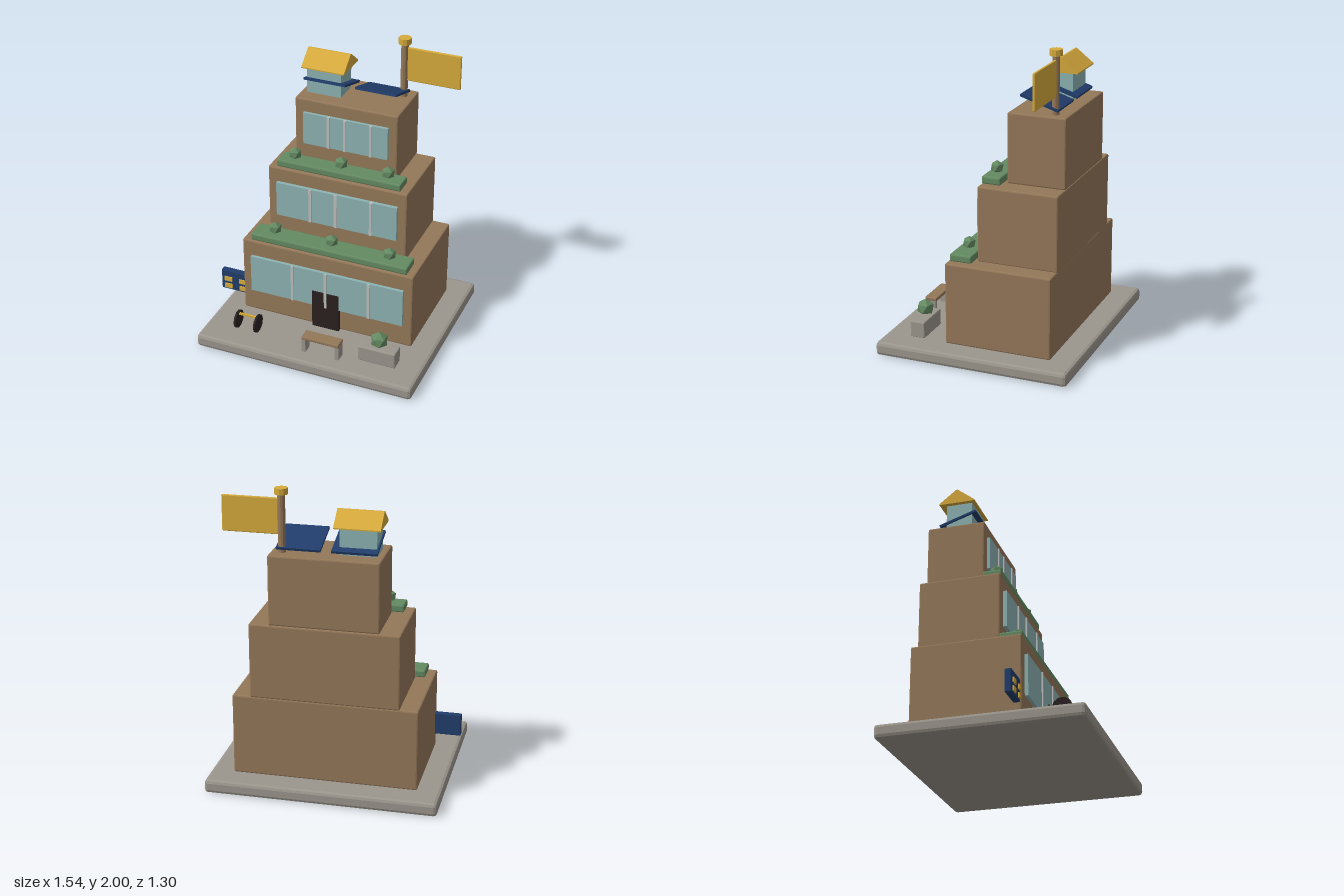
import * as THREE from 'three';
import { RoundedBoxGeometry } from 'three/addons/geometries/RoundedBoxGeometry.js';

const material = (name, color) => new THREE.MeshStandardMaterial({ name, color, flatShading: true });

export function createModel() {
  const model = new THREE.Group();
  model.name = 'terracedBuilding';

  const stone = material('stone', 0x9b968d);
  const clay = material('clay', 0x947859);
  const glass = material('glass', 0x8db3b3);
  const trim = material('paleTrim', 0xbfc0be);
  const green = material('green', 0x648a62);
  const gold = material('gold', 0xd6aa3c);
  const navy = material('navy', 0x213d6b);
  const dark = material('darkBrown', 0x2b2120);

  const add = (name, geometry, mat, x = 0, y = 0, z = 0) => {
    const mesh = new THREE.Mesh(geometry, mat);
    mesh.name = name;
    mesh.position.set(x, y, z);
    model.add(mesh);
    return mesh;
  };

  // Box given by its limits, with an optional softened edge
  const box = (name, mat, [x0, x1], [y0, y1], [z0, z1], bevel = 0) => {
    const size = [x1 - x0, y1 - y0, z1 - z0];
    const geometry = bevel
      ? new RoundedBoxGeometry(...size, 1, bevel)
      : new THREE.BoxGeometry(...size);
    return add(name, geometry, mat, (x0 + x1) / 2, (y0 + y1) / 2, (z0 + z1) / 2);
  };

  // Faceted shrub standing on a point, its underside pressed flat
  const shrub = (name, x, y, z, r) => {
    const geometry = new THREE.IcosahedronGeometry(r, 0);
    geometry.rotateZ(Math.atan(2 / (1 + Math.sqrt(5))));
    const p = geometry.attributes.position;
    for (let i = 0; i < p.count; i++) p.setY(i, Math.max(p.getY(i), -0.8 * r));
    geometry.computeVertexNormals();
    add(name, geometry, green, x, y + 0.8 * r, z);
  };

  // Ground slab
  box('groundSlab', stone, [-0.755, 0.765], [0, 0.09], [-0.65, 0.65], 0.022);

  // Three stepped storeys with window bands
  const storeys = [
    { x: [-0.6, 0.61], y: [0.09, 0.635], front: 0.225, wx: [-0.535, 0.55], wy: [0.255, 0.525], wz: 0.247, bars: [-0.23, 0.008, 0.312] },
    { x: [-0.48, 0.492], y: [0.63, 1.13], front: 0.05, wx: [-0.415, 0.432], wy: [0.785, 1.03], wz: 0.075, bars: [-0.172, 0.008, 0.254] },
    { x: [-0.348, 0.362], y: [1.13, 1.59], front: -0.1, wx: [-0.285, 0.302], wy: [1.275, 1.5], wz: -0.08, bars: [-0.108, 0.008, 0.187] },
  ];
  for (const s of storeys) {
    box('storey', clay, s.x, s.y, [-0.487, s.front], 0.01);
    box('windowBand', glass, s.wx, s.wy, [s.front - 0.01, s.wz]);
    for (const x of s.bars) {
      box('windowBar', trim, [x - 0.009, x + 0.009], s.wy, [s.front, s.wz + 0.008]);
    }
  }

  // Planted terraces
  const terraces = [
    { x: [-0.544, 0.56], y: 0.635, z: [0.065, 0.213], shrubs: [-0.397, 0.008, 0.413] },
    { x: [-0.424, 0.441], y: 1.135, z: [-0.085, 0.042], shrubs: [-0.318, 0.008, 0.333] },
  ];
  for (const t of terraces) {
    box('terraceBed', green, t.x, [t.y, t.y + 0.05], t.z, 0.01);
    for (const x of t.shrubs) {
      shrub('terraceShrub', x, t.y + 0.05, (t.z[0] + t.z[1]) / 2, 0.045);
    }
  }

  // Entrance door
  box('door', dark, [-0.088, 0.103], [0.09, 0.37], [0.22, 0.25]);

  // Side board with gold squares
  box('sideBoard', navy, [-0.775, -0.56], [0.19, 0.34], [0.172, 0.214], 0.006);
  for (const x of [-0.722, -0.612]) {
    for (const y of [0.222, 0.276]) {
      box('boardSquare', gold, [x - 0.028, x + 0.028], [y - 0.016, y + 0.016], [0.214, 0.223]);
    }
  }

  // Pair of wheels on an axle bar
  for (const x of [-0.535, -0.393]) {
    const wheel = add('wheel', new THREE.CylinderGeometry(0.064, 0.064, 0.014, 10), dark, x, 0.154, 0.455);
    wheel.rotation.z = Math.PI / 2;
  }
  box('axleBar', gold, [-0.535, -0.393], [0.188, 0.202], [0.444, 0.458]);

  // Bench
  box('benchSeat', clay, [-0.036, 0.226], [0.188, 0.212], [0.466, 0.55], 0.006);
  for (const x of [-0.022, 0.212]) {
    box('benchLeg', stone, [x - 0.013, x + 0.013], [0.085, 0.19], [0.474, 0.544]);
  }

  // Stone planter
  box('planter', stone, [0.335, 0.592], [0.085, 0.197], [0.382, 0.483], 0.008);
  shrub('planterShrub', 0.464, 0.2, 0.432, 0.06);

  // Rooftop glass room with a gabled roof
  box('roofRoom', glass, [-0.306, -0.07], [1.585, 1.77], [-0.375, -0.2]);
  const gable = new THREE.Shape();
  gable.moveTo(-0.121, 0);
  gable.lineTo(0.121, 0);
  gable.lineTo(0.121, 0.008);
  gable.lineTo(0.006, 0.098);
  gable.lineTo(-0.006, 0.098);
  gable.lineTo(-0.121, 0.008);
  const roof = new THREE.ExtrudeGeometry(gable, { depth: 0.296, bevelEnabled: false });
  roof.rotateY(Math.PI / 2);
  add('gabledRoof', roof, gold, -0.336, 1.766, -0.297);

  // Tilted solar panels, high edge to the front
  for (const [x0, x1] of [[-0.317, -0.028], [0.04, 0.322]]) {
    const panel = add('solarPanel', new THREE.BoxGeometry(x1 - x0, 0.016, 0.262), navy, (x0 + x1) / 2, 1.658, -0.295);
    panel.rotation.x = -0.31;
  }

  // Flagpole
  add('flagpole', new THREE.CylinderGeometry(0.024, 0.024, 0.38, 10), clay, 0.29, 1.775, -0.393);
  add('poleCap', new THREE.CylinderGeometry(0.042, 0.042, 0.04, 10), gold, 0.29, 1.98, -0.393);
  box('flag', gold, [0.308, 0.67], [1.703, 1.936], [-0.404, -0.386], 0.006);

  return model;
}
